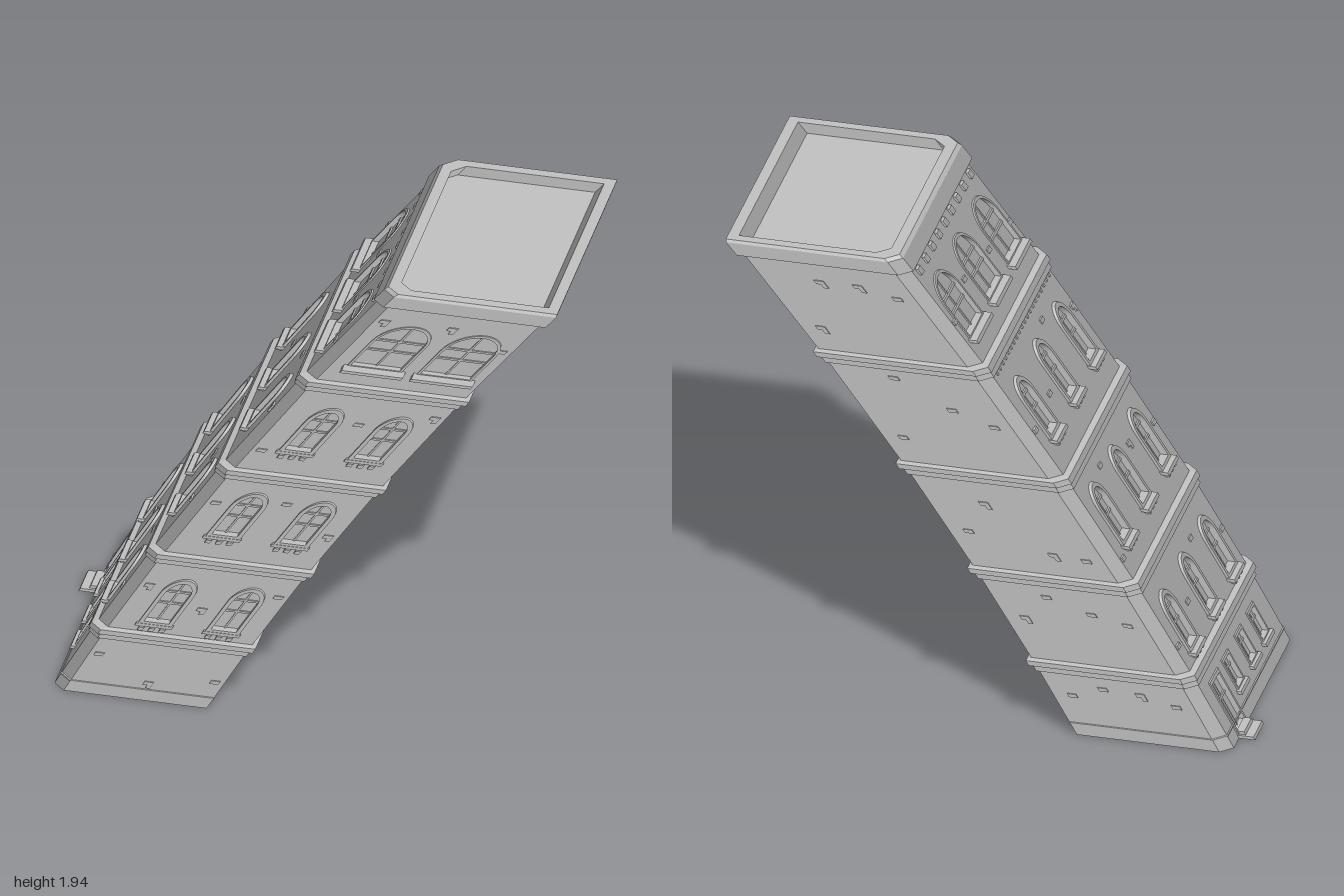
import * as THREE from 'three';
import { mergeGeometries } from 'three/addons/utils/BufferGeometryUtils.js';

const HX = 0.297, HZ = 0.472, ZC = -0.0125, CUT = 0.045;
const stone = new THREE.MeshStandardMaterial({ color: 0xc0c0c0, side: THREE.DoubleSide });
stone.name = 'stone';

// The whole tower is built upright, then leaned along a gentle curve;
// the faces keep their upright normals
function lean(geo) {
  geo.computeVertexNormals();
  const p = geo.attributes.position;
  for (let i = 0; i < p.count; i++) {
    const y = p.getY(i);
    p.setX(i, p.getX(i) * (1 + 0.03 * y) - 0.648 + 0.542 * y + 0.07 * y * y);
  }
  return geo;
}

// Floor plan with two cut corners, pushed out by o
function plan(o) {
  const x = HX + o, z = HZ + o;
  return [[x, z], [x, -z], [-x + CUT, -z], [-x, -z + CUT], [-x, z - CUT], [-x + CUT, z]]
    .map(([a, b]) => [a, b + ZC]);
}

// Rings of [outset, y] joined along chosen plan edges
function loft(rings, edges = [0, 1, 2, 3, 4, 5]) {
  const pos = [];
  for (let r = 0; r + 1 < rings.length; r++) {
    const [lo, ylo] = rings[r], [hi, yhi] = rings[r + 1];
    const A = plan(lo), B = plan(hi);
    for (const i of edges) {
      const j = (i + 1) % 6;
      const a = [A[i][0], ylo, A[i][1]], b = [A[j][0], ylo, A[j][1]];
      const c = [B[j][0], yhi, B[j][1]], d = [B[i][0], yhi, B[i][1]];
      pos.push(...a, ...b, ...c, ...a, ...c, ...d);
    }
  }
  const g = new THREE.BufferGeometry();
  g.setAttribute('position', new THREE.Float32BufferAttribute(pos, 3));
  return g;
}

// Flat slab following the plan, facing up or down
function slab(o, y, up) {
  const g = new THREE.ShapeGeometry(new THREE.Shape(plan(o).map(([x, z]) => new THREE.Vector2(x, -z))));
  g.rotateX(-Math.PI / 2);
  if (!up) g.scale(1, -1, 1).index.array.reverse();
  return g.translate(0, y, 0);
}

// Wall-local (u, y, depth) to each decorated side
const sides = {
  front: g => g.translate(0, 0, HZ + ZC),
  entrance: g => g.rotateY(-Math.PI / 2).translate(-HX, 0, ZC),
  back: g => g.rotateY(Math.PI).translate(0, 0, -HZ + ZC),
};
const box = (w, h, d, u, y, z) => new THREE.BoxGeometry(w, h, d).translate(u, y, z);

// Arched outline; rise 0 gives a rectangle
function arch(u, y, w, h, rise, Type = THREE.Shape) {
  const s = new Type();
  s.moveTo(u - w / 2, y);
  s.lineTo(u + w / 2, y);
  s.lineTo(u + w / 2, y + h - rise);
  if (rise) s.absellipse(u, y + h - rise, w / 2, rise, 0, Math.PI, false, 0);
  else s.lineTo(u - w / 2, y + h);
  s.lineTo(u - w / 2, y);
  return s;
}

// Frame, pane, glazing bars, sill and sill brackets for one opening
function opening({ u, y, w, h, rise, rim, sill, proud, brackets }) {
  const ring = arch(u, y - rim, w + 2 * rim, h + 2 * rim, rise ? rise + rim : 0);
  ring.holes.push(arch(u, y, w, h, rise, THREE.Path));
  const frame = new THREE.ExtrudeGeometry(ring, { depth: 0.02 + proud, bevelEnabled: false, curveSegments: 10 });
  frame.translate(0, 0, -0.02);
  const parts = [frame, new THREE.ShapeGeometry(arch(u, y, w, h, rise), 10).translate(0, 0, -0.018)];
  parts.push(box(0.008, h - 0.01, 0.006, u, y + h / 2 - 0.005, -0.015));
  parts.push(box(w, 0.008, 0.006, u, y + (h - rise) * 0.6, -0.015));
  if (rise) parts.push(box(w, 0.008, 0.006, u, y + h - rise, -0.015));
  if (sill) parts.push(box(w + 0.045, 0.012, sill, u, y - rim, sill / 2));
  if (brackets) for (const k of [-1, 0, 1])
    parts.push(box(0.02, 0.014, 0.018, u + k * w * 0.42, y - rim - 0.016, 0.009));
  return parts;
}

export function createModel() {
  const tower = new THREE.Group();
  tower.name = 'leaningTower';
  const add = (name, geos) => {
    const flat = geos.map(g => {
      const n = g.index ? g.toNonIndexed() : g;
      n.deleteAttribute('uv');
      n.deleteAttribute('normal');
      return n;
    });
    const mesh = new THREE.Mesh(lean(mergeGeometries(flat)), stone);
    mesh.name = name;
    tower.add(mesh);
  };

  // Storeys: wall limits and the windows on the two decorated sides
  const levels = [0, 0.28, 0.645, 1.055, 1.49, 1.89];
  const columns = [-0.297, -0.005, 0.287];
  for (let f = 0; f < 5; f++) {
    const y0 = levels[f], y1 = levels[f + 1];
    const openings = { front: [], entrance: [] };
    if (f === 0) {
      openings.entrance.push({ u: -0.285, y: 0.02, w: 0.1, h: 0.185, rise: 0, rim: 0.012, sill: 0, proud: 0.006 });
      for (const u of [-0.118, 0.077, 0.258])
        openings.entrance.push({ u, y: 0.105, w: 0.075, h: 0.1, rise: 0, rim: 0.01, sill: 0.018, proud: 0.006 });
    } else {
      const top = f === 4;
      const size = top
        ? { y: 1.6, w: 0.18, h: 0.19, rise: 0.075, rim: 0.01, proud: 0.006 }
        : { y: [0, 0.358, 0.78, 1.195][f], w: 0.095, h: 0.185, rise: 0.055, rim: 0.016, proud: 0.012, brackets: true };
      for (const u of [-0.095, 0.16]) openings.front.push({ ...size, u, sill: top ? 0.045 : 0.014 });
      for (const u of columns) openings.entrance.push({ ...size, u, sill: 0.032 });
    }
    const spans = { front: [-HX + CUT, HX], entrance: [-HZ + CUT, HZ - CUT] };
    for (const side of ['front', 'entrance']) {
      const [a, b] = spans[side];
      const wall = new THREE.Shape([[a, y0], [b, y0], [b, y1], [a, y1]].map(p => new THREE.Vector2(...p)));
      for (const o of openings[side]) wall.holes.push(arch(o.u, o.y, o.w, o.h, o.rise, THREE.Path));
      add(side + 'Wall' + f, [sides[side](new THREE.ShapeGeometry(wall, 10))]);
      const parts = openings[side].flatMap(opening);
      if (parts.length) add(side + 'Openings' + f, parts.map(sides[side]));
    }
    add('plainWalls' + f, [loft([[0, y0], [0, y1]], [0, 1, 2, 4])]);
  }

  // Stepped string courses between storeys
  for (const y of [0.281, 0.645, 1.055, 1.49])
    add('stringCourse', [loft([[0, y - 0.025], [0.009, y - 0.025], [0.009, y - 0.002],
      [0.02, y], [0.02, y + 0.02], [0, y + 0.025]])]);

  // Thin ledge above the plinth
  add('plinthLedge', [loft([[0, 0.046], [0.003, 0.046], [0.003, 0.05], [0, 0.052]])]);

  // Parapet with sunken roof, and the ground floor ceiling
  add('parapet', [loft([[0, 1.876], [0.02, 1.882], [0.02, 1.932], [0.014, 1.943],
    [-0.025, 1.943], [-0.025, 1.9]])]);
  add('roof', [slab(-0.025, 1.9, true)]);
  add('groundCeiling', [slab(0, 0.27, false)]);

  // Corbels below the parapet and a finer row below the upper string course
  const corbels = [];
  for (let i = 0; i < 9; i++) corbels.push(box(0.035, 0.022, 0.01, -0.38 + i * 0.095, 1.852, 0.005));
  for (let i = 0; i < 20; i++) corbels.push(box(0.014, 0.01, 0.007, -0.39 + i * 0.041, 1.457, 0.0035));
  add('corbels', corbels.map(sides.entrance));

  // Entrance steps
  add('entranceSteps', [box(0.13, 0.012, 0.062, -0.285, 0.006, 0.031), box(0.11, 0.012, 0.03, -0.285, 0.018, 0.015)]
    .map(sides.entrance));

  // Loose raised bricks scattered over the walls
  let seed = 7;
  const rand = () => (seed = (seed * 16807) % 2147483647) / 2147483647;
  const slots = { front: [0.03, 0.262, -0.215], entrance: [-0.15, 0.14, -0.405, 0.4], back: [-0.22, -0.08, 0.06, 0.18] };
  for (const side in slots) {
    const bricks = [];
    for (let f = 0; f < 5; f++) for (const u of slots[side]) {
      if (f === 0 && side === 'entrance') continue;
      const y = levels[f] + 0.08 + rand() * (levels[f + 1] - levels[f] - 0.14);
      bricks.push(box(0.035, 0.014, 0.01, u, y, 0));
      if (rand() > 0.6) bricks.push(box(0.018, 0.014, 0.01, u + 0.0085, y - 0.014, 0));
    }
    add(side + 'Bricks', bricks.map(sides[side]));
  }
  return tower;
}
